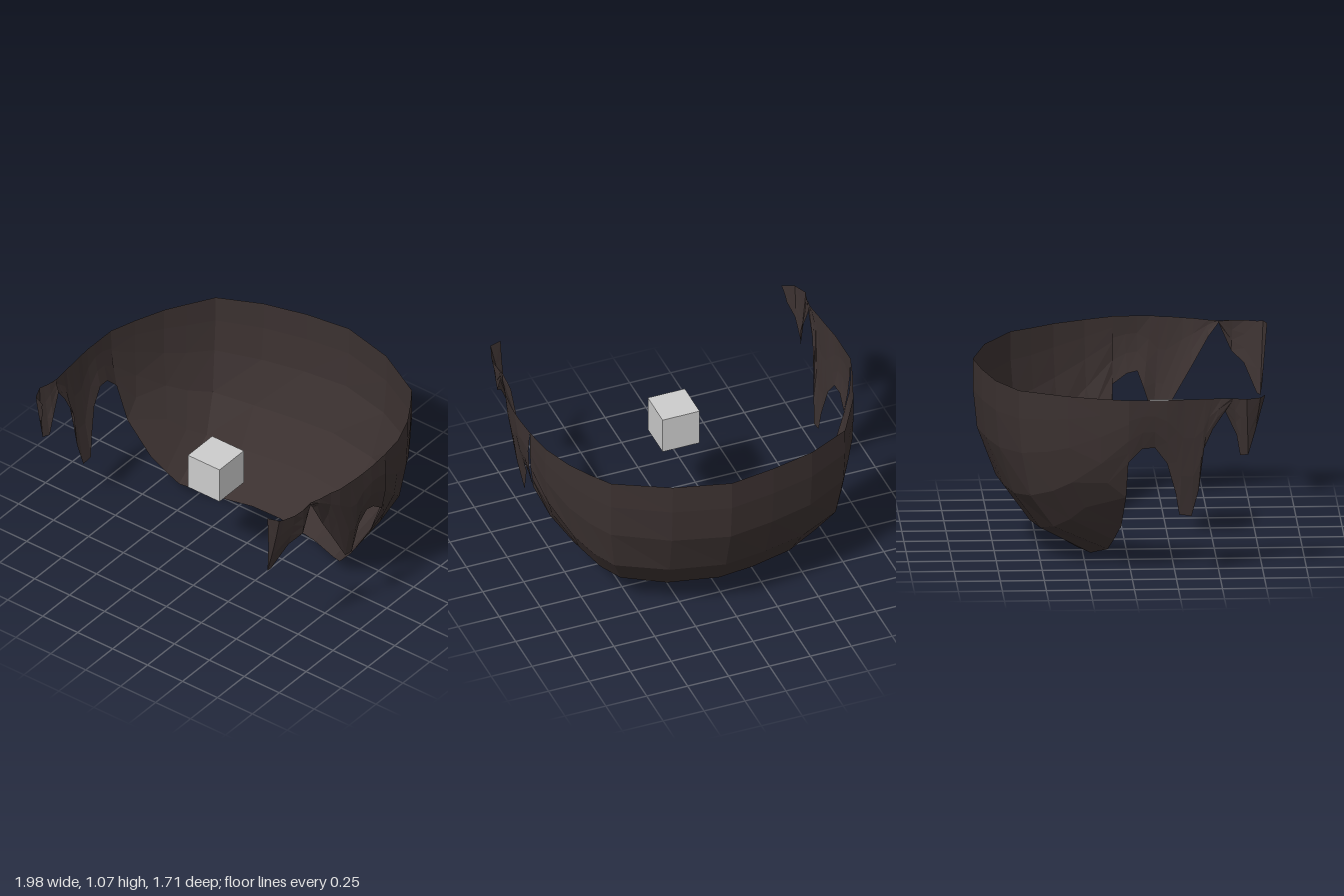
import * as THREE from 'three';

const hair = new THREE.MeshStandardMaterial({ name: 'dark brown', color: 0x3b3130, flatShading: true, side: THREE.DoubleSide });
const grey = new THREE.MeshStandardMaterial({ name: 'light grey', color: 0xcccccc, flatShading: true });

// Joins columns of points, each with the same number of rows, into an open sheet
function sheet(name, columns) {
  const rows = columns[0].length;
  const index = [];
  for (let c = 0; c < columns.length - 1; c++) {
    for (let r = 0; r < rows - 1; r++) {
      const a = c * rows + r, b = a + rows;
      index.push(a, a + 1, b, b, a + 1, b + 1);
    }
  }
  const geo = new THREE.BufferGeometry();
  geo.setAttribute('position', new THREE.Float32BufferAttribute(columns.flat(2), 3));
  geo.setIndex(index);
  geo.computeVertexNormals();
  const mesh = new THREE.Mesh(geo, hair);
  mesh.name = name;
  return mesh;
}

// Bowl of hair: each column runs from the rim down to the lower edge
function backShell() {
  const edges = [
    [[-0.99, 1.04, -0.02], [-0.95, 0.67, -0.02]],
    [[-0.94, 1.04, -0.18], [-0.88, 0.45, -0.03]],
    [[-0.87, 1.04, -0.36], [-0.73, 0.25, -0.05]],
    [[-0.80, 1.04, -0.48], [-0.65, 0.15, -0.09]],
    [[-0.71, 1.04, -0.63], [-0.58, 0.08, -0.12]],
    [[-0.46, 1.04, -0.75], [-0.41, 0.02, -0.21]],
    [[-0.20, 1.045, -0.815], [-0.18, 0.005, -0.285]],
    [[0.07, 1.045, -0.855], [0.01, 0, -0.295]],
    [[0.40, 1.05, -0.775], [0.30, 0.015, -0.235]],
    [[0.71, 1.05, -0.61], [0.52, 0.06, -0.13]],
    [[0.79, 1.05, -0.49], [0.61, 0.11, -0.07]],
    [[0.87, 1.055, -0.36], [0.71, 0.23, -0.04]],
    [[0.94, 1.06, -0.18], [0.85, 0.45, -0.03]],
    [[0.97, 1.07, -0.02], [0.95, 0.68, -0.02]],
  ];
  // Fractions from lower edge to rim: [x, y, z, extra z toward the sides]
  const profile = [[1, 1, 1, 0], [1.01, 0.83, 1, 0], [0.98, 0.62, 0.96, 0.02],
    [0.77, 0.355, 0.77, 0.2], [0.3, 0.15, 0.48, 0.25], [0, 0, 0, 0]];
  return sheet('backShell', edges.map(([rim, low]) => profile.map(([fx, fy, fz, side]) => {
    const f = [fx, fy, fz + side * rim[0] * rim[0]];
    return rim.map((v, i) => low[i] + (v - low[i]) * f[i]);
  })));
}

// Pointed lock: columns of top and bottom points with a slight outward bulge
function lock(name, edges, bulge) {
  return sheet(name, edges.map(([top, low]) => [0, 0.33, 0.66, 1].map((t) => {
    const p = top.map((v, i) => v + (low[i] - v) * t);
    p[0] += Math.sign(p[0]) * bulge * Math.sin(Math.PI * t);
    return p;
  })));
}

export function createModel() {
  const model = new THREE.Group();
  model.name = 'hairpiece';
  model.add(backShell());

  model.add(lock('leftSideLock', [
    [[0.97, 1.07, -0.02], [0.95, 0.68, -0.02]],
    [[0.975, 1.07, 0.05], [0.95, 0.74, 0.06]],
    [[0.98, 1.07, 0.12], [0.95, 0.755, 0.12]],
    [[0.98, 1.07, 0.20], [0.92, 0.66, 0.155]],
    [[0.975, 1.065, 0.25], [0.91, 0.49, 0.21]],
    [[0.97, 1.065, 0.30], [0.895, 0.48, 0.25]],
    [[0.96, 1.06, 0.38], [0.88, 0.68, 0.36]],
    [[0.94, 1.06, 0.44], [0.865, 0.79, 0.42]],
    [[0.92, 1.055, 0.52], [0.87, 0.97, 0.52]],
    [[0.90, 1.055, 0.58], [0.895, 1.045, 0.58]],
  ], 0.02));

  model.add(lock('leftFrontLock', [
    [[0.90, 1.055, 0.58], [0.90, 1.04, 0.58]],
    [[0.91, 1.055, 0.66], [0.90, 0.88, 0.65]],
    [[0.905, 1.055, 0.73], [0.85, 0.82, 0.72]],
    [[0.88, 1.055, 0.80], [0.78, 0.66, 0.79]],
    [[0.87, 1.06, 0.83], [0.77, 0.65, 0.81]],
    [[0.80, 1.06, 0.85], [0.78, 0.70, 0.82]],
  ], 0.005));

  model.add(lock('rightSideLock', [
    [[-0.99, 1.04, -0.02], [-0.95, 0.67, -0.02]],
    [[-0.99, 1.04, 0.06], [-0.955, 0.75, 0.06]],
    [[-0.99, 1.04, 0.13], [-0.95, 0.755, 0.13]],
    [[-0.99, 1.04, 0.20], [-0.94, 0.66, 0.20]],
    [[-0.985, 1.04, 0.26], [-0.92, 0.48, 0.25]],
    [[-0.98, 1.04, 0.30], [-0.91, 0.355, 0.27]],
    [[-0.975, 1.04, 0.36], [-0.91, 0.345, 0.34]],
    [[-0.97, 1.04, 0.42], [-0.925, 0.50, 0.38]],
    [[-0.965, 1.04, 0.46], [-0.93, 0.72, 0.40]],
    [[-0.96, 1.04, 0.51], [-0.95, 0.86, 0.46]],
    [[-0.96, 1.04, 0.57], [-0.96, 1.025, 0.57]],
  ], 0.01));

  model.add(lock('rightFrontLock', [
    [[-0.96, 1.04, 0.53], [-0.94, 0.96, 0.53]],
    [[-0.965, 1.04, 0.58], [-0.93, 0.82, 0.595]],
    [[-0.975, 1.04, 0.62], [-0.94, 0.705, 0.615]],
    [[-0.985, 1.04, 0.65], [-0.955, 0.71, 0.66]],
    [[-0.95, 1.04, 0.73], [-0.94, 0.84, 0.70]],
    [[-0.88, 1.04, 0.76], [-0.90, 0.94, 0.73]],
  ], 0.003));

  // Small block floating inside the bowl
  const block = new THREE.Mesh(new THREE.BoxGeometry(0.226, 0.226, 0.226), grey);
  block.name = 'centreBlock';
  block.position.set(-0.022, 0.676, 0.262);
  model.add(block);
  return model;
}
